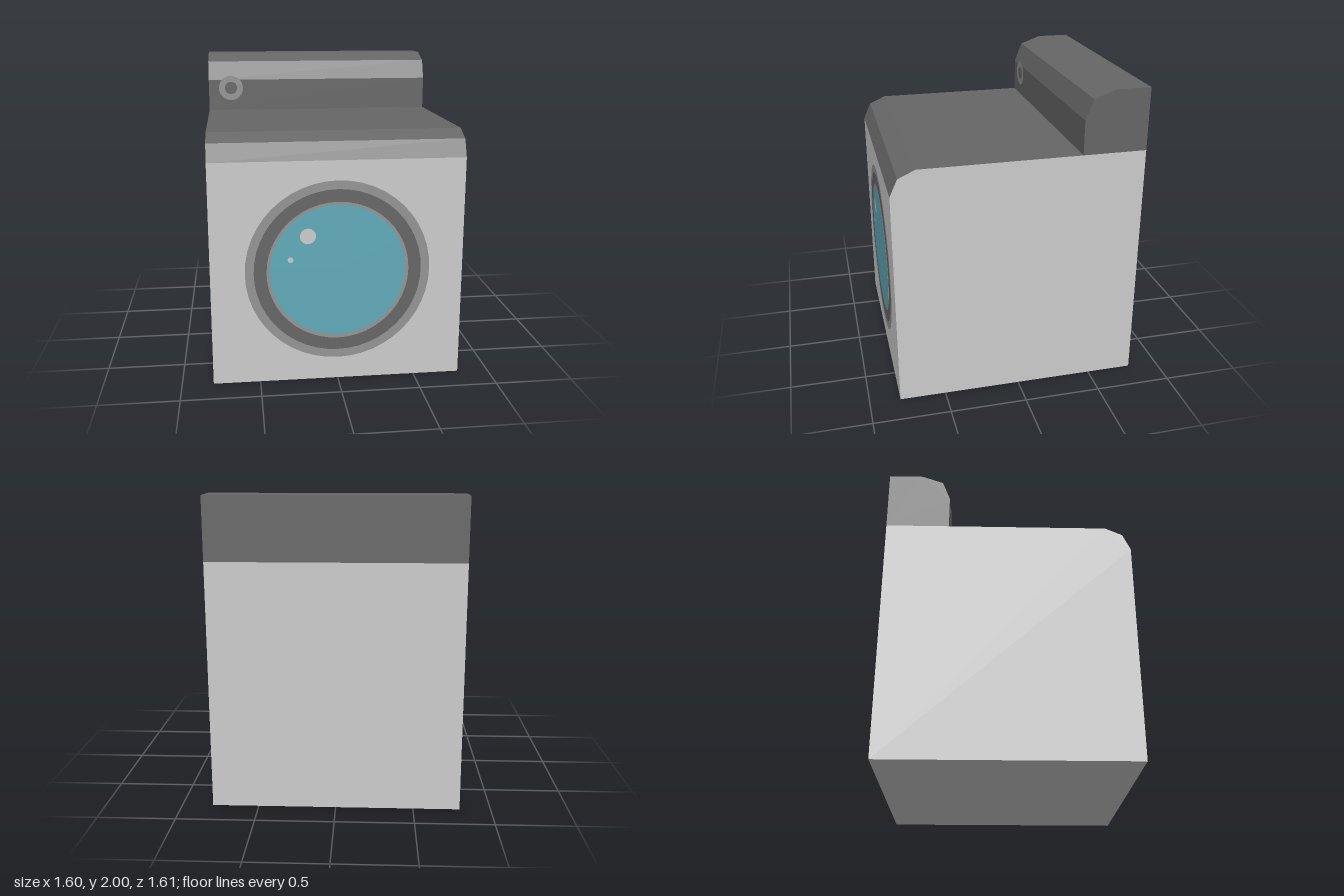
import * as THREE from 'three';

const mat = (name, color) => {
  const m = new THREE.MeshStandardMaterial({ color });
  m.name = name;
  return m;
};

// Side profile of [z, y] points swept across the full width
function sweep(profile, width) {
  const shape = new THREE.Shape(profile.map(([z, y]) => new THREE.Vector2(z, y)));
  const g = new THREE.ExtrudeGeometry(shape, { depth: width, bevelEnabled: false });
  g.rotateY(-Math.PI / 2);
  g.translate(width / 2, 0, 0);
  return g;
}

export function createModel() {
  const light = mat('light grey enamel', 0xcccccc);
  const dark = mat('dark grey', 0x666666);
  const trim = mat('mid grey trim', 0x949494);
  const glass = mat('blue glass', 0x60aaba);

  const model = new THREE.Group();
  model.name = 'washingMachine';
  const add = (parent, name, geometry, material) => {
    const m = new THREE.Mesh(geometry, material);
    m.name = name;
    parent.add(m);
    return m;
  };

  // Cabinet: light all round, with the bevelled lid faces dark
  const cabinet = sweep([[-0.8, 0], [0.8, 0], [0.8, 1.44], [0.75, 1.55], [0.64, 1.6], [-0.8, 1.6]], 1.6);
  const caps = cabinet.groups[0].count;
  const pos = cabinet.attributes.position;
  cabinet.clearGroups();
  cabinet.addGroup(0, caps, 0);
  for (let i = caps; i < pos.count; i += 3) {
    const y = (pos.getY(i) + pos.getY(i + 1) + pos.getY(i + 2)) / 3;
    cabinet.addGroup(i, 3, y > 1.44 ? 1 : 0);
  }
  add(model, 'cabinet', cabinet, [light, dark]);

  // Raised control panel at the back
  add(model, 'controlPanel', sweep(
    [[-0.8, 1.6], [-0.39, 1.6], [-0.39, 1.82], [-0.44, 1.95], [-0.58, 2], [-0.8, 2]], 1.6), dark);

  // Flat discs and rings facing the front
  const disc = (parent, name, r, x, y, z, material) =>
    add(parent, name, new THREE.CircleGeometry(r, 48), material).position.set(x, y, z);
  const ring = (parent, name, inner, outer, x, y, z, material) =>
    add(parent, name, new THREE.RingGeometry(inner, outer, 48), material).position.set(x, y, z);

  // Round door with its rims, window and glints
  const door = new THREE.Group();
  door.name = 'door';
  door.position.set(0, 0.73, 0.8);
  model.add(door);
  ring(door, 'outerRim', 0.53, 0.585, 0, 0, 0.002, trim);
  ring(door, 'doorSeal', 0.45, 0.53, 0, 0, 0.002, dark);
  ring(door, 'innerRim', 0.42, 0.45, 0, 0, 0.002, trim);
  disc(door, 'window', 0.43, 0, 0.003, 0.004, glass);
  disc(door, 'largeGlint', 0.05, -0.19, 0.235, 0.006, light);
  disc(door, 'smallGlint', 0.018, -0.3, 0.085, 0.006, light);

  // Dial on the control panel
  const dial = new THREE.Group();
  dial.name = 'dial';
  dial.position.set(-0.64, 1.76, -0.388);
  model.add(dial);
  ring(dial, 'dialRing', 0.045, 0.088, 0, 0, 0, trim);
  disc(dial, 'dialCentre', 0.045, 0, 0, 0, dark);

  return model;
}
